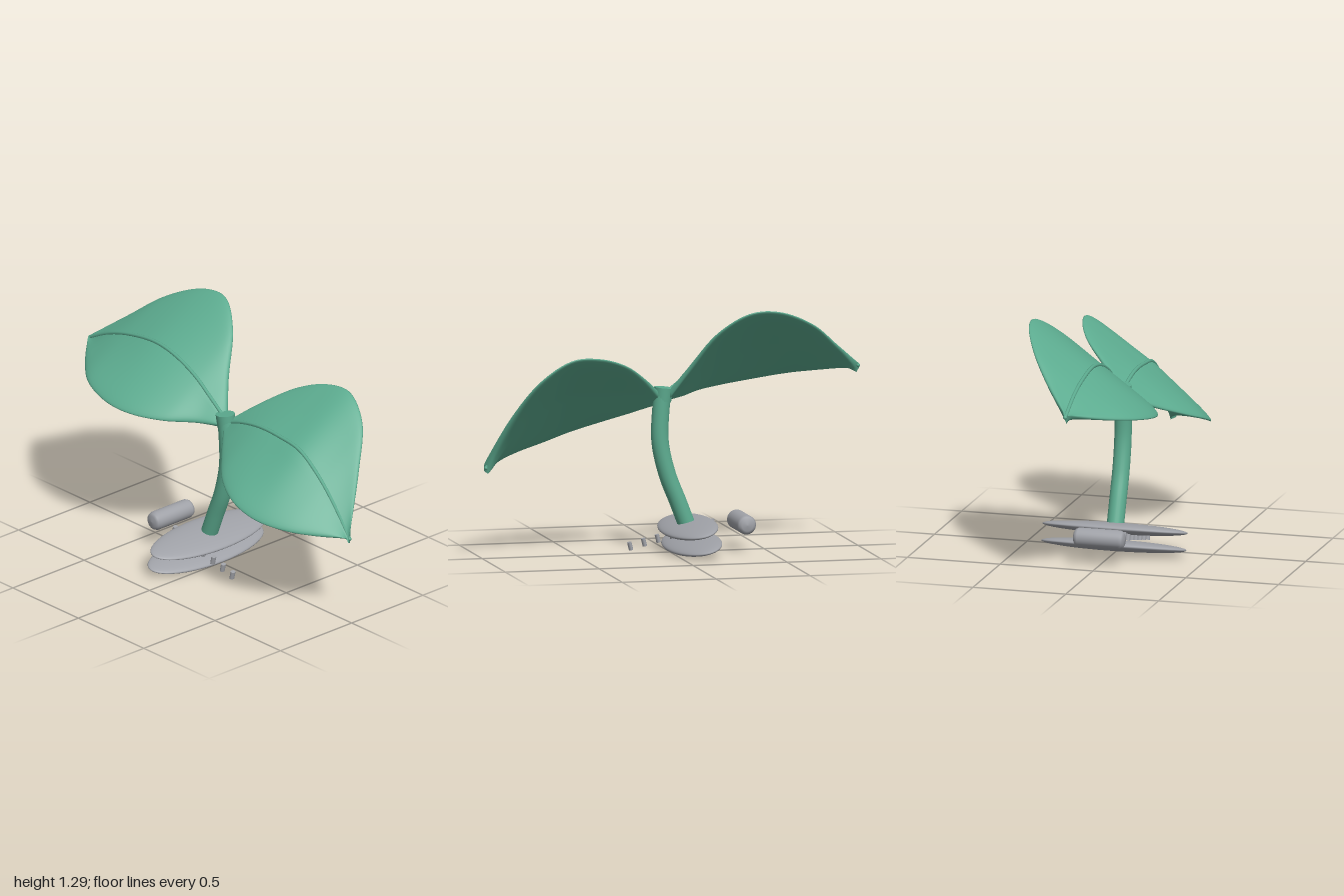
import * as THREE from 'three';

const leafGreen = new THREE.MeshStandardMaterial({ color: 0x5cab8f });
leafGreen.name = 'leafGreen';
const stoneGrey = new THREE.MeshStandardMaterial({ color: 0x9fa1a7 });
stoneGrey.name = 'stoneGrey';

const V = (x, y, z) => new THREE.Vector3(x, y, z);
const spline = (pts) => new THREE.CatmullRomCurve3(pts);

// Rows along each leaf: x, rib height, back edge y and z, front edge y and z
const rightLeafRows = [
  [-1.0, 0.955, 0.96, -0.005, 0.935, 0.005],
  [-0.85, 1.03, 1.09, -0.145, 0.895, 0.17],
  [-0.7, 1.075, 1.215, -0.26, 0.865, 0.285],
  [-0.5, 1.1, 1.3, -0.345, 0.83, 0.33],
  [-0.35, 1.075, 1.3, -0.355, 0.812, 0.305],
  [-0.2, 1.01, 1.195, -0.27, 0.8, 0.22],
  [-0.08, 0.925, 1.0, -0.13, 0.79, 0.095],
  [0.02, 0.85, 0.83, -0.03, 0.785, 0.03],
];
const leftLeafRows = [
  [0.06, 0.835, 0.845, -0.02, 0.765, 0.03],
  [0.17, 0.87, 0.945, -0.14, 0.705, 0.15],
  [0.3, 0.89, 1.035, -0.265, 0.645, 0.265],
  [0.45, 0.885, 1.085, -0.335, 0.59, 0.325],
  [0.6, 0.86, 1.085, -0.355, 0.54, 0.315],
  [0.75, 0.755, 0.98, -0.305, 0.507, 0.245],
  [0.87, 0.63, 0.785, -0.17, 0.485, 0.14],
  [0.98, 0.485, 0.515, -0.005, 0.465, 0.005],
];

// Leaf blade: a thin rounded section swept between the front and back edges
function bladeGeometry(rows) {
  const mid = spline(rows.map((r) => V(r[0], r[1] - 0.032, 0)));
  const back = spline(rows.map((r) => V(r[0], r[2] - 0.014, r[3])));
  const front = spline(rows.map((r) => V(r[0], r[4] + 0.014, r[5])));
  const N = 48, M = 48, half = 0.016;
  const pos = [], idx = [];
  for (let i = -1; i <= N + 1; i++) {
    const t = THREE.MathUtils.clamp(i / N, 0, 1);
    const closed = i < 0 || i > N;
    const m = mid.getPoint(t), b = back.getPoint(t), f = front.getPoint(t);
    const n = mid.getTangent(t).cross(b.clone().sub(f)).normalize();
    for (let j = 0; j < M; j++) {
      const a = (j / M) * Math.PI * 2, c = Math.cos(a);
      const h = half * Math.sign(Math.sin(a)) * Math.sqrt(Math.max(0, 1 - c ** 8));
      const p = m.clone();
      if (!closed) p.lerp(c > 0 ? b : f, Math.abs(c)).addScaledVector(n, h);
      pos.push(p.x, p.y, p.z);
    }
  }
  for (let i = 0; i < N + 2; i++) {
    for (let j = 0; j < M; j++) {
      const k = (j + 1) % M;
      const a = i * M + j, b = i * M + k, c = a + M, d = b + M;
      idx.push(a, b, c, b, d, c);
    }
  }
  const g = new THREE.BufferGeometry();
  g.setAttribute('position', new THREE.Float32BufferAttribute(pos, 3));
  g.setIndex(idx);
  g.computeVertexNormals();
  return g;
}

export function createModel() {
  const model = new THREE.Group();
  model.name = 'sprout';
  const add = (name, geo, mat, parent = model) => {
    const mesh = new THREE.Mesh(geo, mat);
    mesh.name = name;
    parent.add(mesh);
    return mesh;
  };

  // Two leaves, each with a raised midrib
  for (const [name, rows] of [['rightLeaf', rightLeafRows], ['leftLeaf', leftLeafRows]]) {
    const leaf = new THREE.Group();
    leaf.name = name;
    add('blade', bladeGeometry(rows), leafGreen, leaf);
    const rib = spline(rows.map((r) => V(r[0], r[1] - 0.009, -0.003)));
    add('midrib', new THREE.TubeGeometry(rib, 48, 0.01, 8), leafGreen, leaf);
    for (const t of [0, 1]) {
      add('ribEnd', new THREE.SphereGeometry(0.011, 10, 8), leafGreen, leaf).position.copy(rib.getPoint(t));
    }
    model.add(leaf);
  }

  // Curved stem with a flat collar on top
  const stem = spline([
    V(-0.09, 0.14, 0), V(-0.04, 0.27, 0), V(0.015, 0.41, 0),
    V(0.053, 0.58, 0), V(0.05, 0.74, 0), V(0.037, 0.85, 0),
  ]);
  add('stem', new THREE.TubeGeometry(stem, 40, 0.045, 24), leafGreen);
  const collar = add('collar', new THREE.CylinderGeometry(0.05, 0.045, 0.07, 24), leafGreen);
  collar.position.set(0.037, 0.83, 0);
  collar.rotation.z = 0.1;

  // Two tilted oval discs
  const tilt = -0.23;
  for (const [name, x, y] of [['upperDisc', -0.094, 0.132], ['lowerDisc', -0.115, 0.046]]) {
    const disc = add(name, new THREE.SphereGeometry(1, 48, 24), stoneGrey);
    disc.scale.set(0.135, 0.03, 0.39);
    disc.position.set(x, y, 0);
    disc.rotation.z = tilt;
  }

  // Row of small pegs running between the discs
  for (let i = 0; i < 7; i++) {
    const peg = add('peg', new THREE.CylinderGeometry(0.013, 0.013, 0.042, 14), stoneGrey);
    peg.scale.set(0.88, 1, 1.1);
    peg.position.set(-0.25 + i * 0.0733, 0.134 - i * 0.0176, 0.092);
    peg.rotation.z = tilt;
  }

  // Round-ended roller lying front to back
  const profile = [[0, -0.137], [0.03, -0.134], [0.043, -0.126], [0.05, -0.11],
    [0.05, 0.11], [0.043, 0.126], [0.03, 0.134], [0, 0.137]];
  const roller = add('roller', new THREE.LatheGeometry(
    profile.map(([r, y]) => new THREE.Vector2(r, y)), 32), stoneGrey);
  roller.rotation.x = Math.PI / 2;
  roller.position.set(-0.38, 0.147, 0);

  return model;
}
